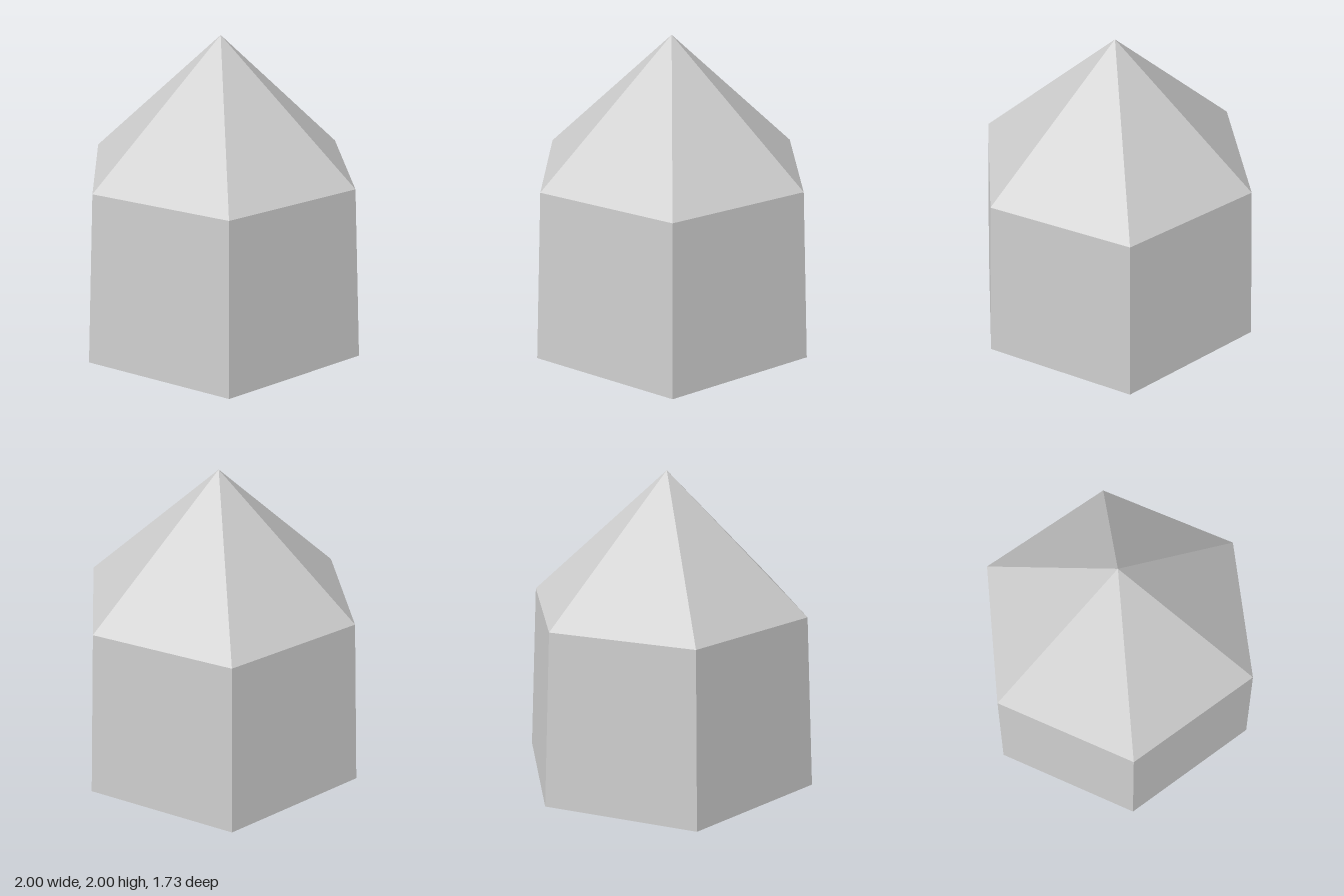
import * as THREE from 'three';

const SIDES = 6;
const EAVE_RADIUS = 0.93;
const EAVE_HEIGHT = 1.135;
const PEAK_HEIGHT = 2;

export function createModel() {
  const model = new THREE.Group();
  model.name = 'hexagonalTent';

  const canvas = new THREE.MeshStandardMaterial({
    color: 0xcccccc,
    flatShading: true,
    side: THREE.DoubleSide,
  });
  canvas.name = 'light grey canvas';

  // Open six-sided ring between two heights, with corners on the x axis
  const addRing = (name, topRadius, bottomRadius, y0, y1) => {
    const geometry = new THREE.CylinderGeometry(
      topRadius, bottomRadius, y1 - y0, SIDES, 1, true, Math.PI / SIDES);
    const mesh = new THREE.Mesh(geometry, canvas);
    mesh.name = name;
    mesh.position.y = (y0 + y1) / 2;
    model.add(mesh);
  };

  // Slightly tapering walls, open at the bottom
  addRing('walls', EAVE_RADIUS, 1, 0, EAVE_HEIGHT);
  // Pointed roof rising from the top of the walls
  addRing('roof', 0, EAVE_RADIUS, EAVE_HEIGHT, PEAK_HEIGHT);

  return model;
}
